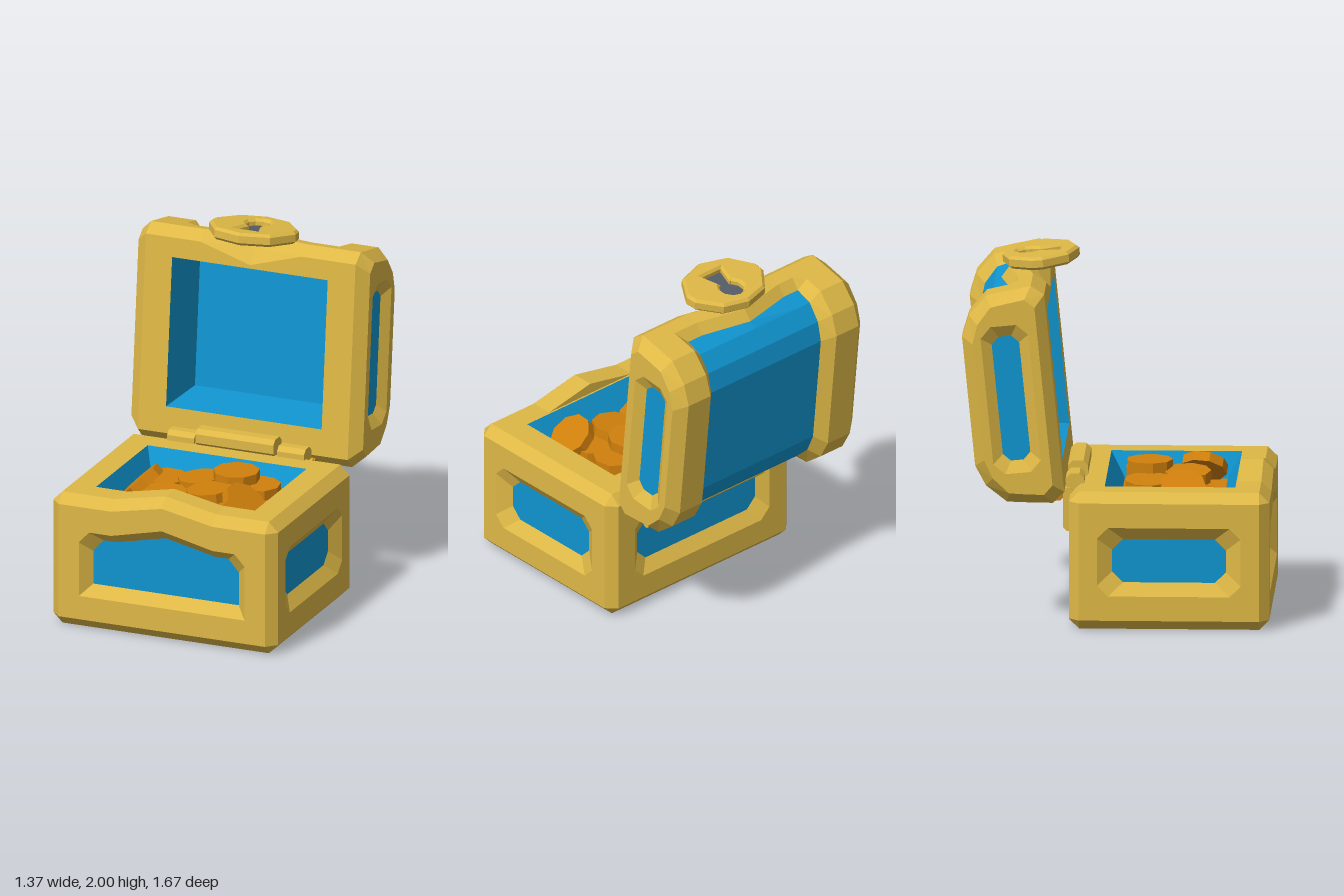
import * as THREE from 'three';

const mat = (name, color) => Object.assign(new THREE.MeshStandardMaterial({ color }), { name });
const V = (x, y, z) => new THREE.Vector3(x, y, z);
const P2 = ([x, y]) => new THREE.Vector2(x, y);

function add(parent, name, geo, material) {
  const m = new THREE.Mesh(geo, material);
  m.name = name;
  parent.add(m);
  return m;
}

// Flat-shaded strips between consecutive loops; keep(i, s) selects edge i of strip s
function loft(loops, closed = true, keep = () => true) {
  const pos = [];
  const tri = (a, b, c) => {
    const n = b.clone().sub(a).cross(c.clone().sub(a));
    if (n.length() > 1e-7) for (const p of [a, b, c]) pos.push(p.x, p.y, p.z);
  };
  for (let s = 0; s + 1 < loops.length; s++) {
    const a = loops[s], b = loops[s + 1], n = a.length;
    for (let i = 0; i < (closed ? n : n - 1); i++) {
      if (!keep(i, s)) continue;
      const j = (i + 1) % n;
      tri(a[i], a[j], b[j]);
      tri(a[i], b[j], b[i]);
    }
  }
  const g = new THREE.BufferGeometry();
  g.setAttribute('position', new THREE.Float32BufferAttribute(pos, 3));
  g.computeVertexNormals();
  return g;
}

// Rectangle with cut corners, counter-clockwise
function cutRect(cx, cy, w, h, c) {
  return [[-w + c, -h], [w - c, -h], [w, -h + c], [w, h - c], [w - c, h], [-w + c, h], [-w, h - c], [-w, -h + c]]
    .map(([x, y]) => [x + cx, y + cy]);
}
const rect = (cx, cy, w, h) => [[-w, -h], [w, -h], [w, h], [-w, h]].map(([x, y]) => [x + cx, y + cy]);

// Framed face with a sloped recess, facing +z before it is turned into place
function panel(parent, name, o) {
  const g = new THREE.Group();
  g.name = name;
  g.position.set(...o.pos);
  g.rotation.set(...(o.rot || [0, 0, 0]));
  const frame = new THREE.Shape(o.outer.map(P2));
  frame.holes.push(new THREE.Path(o.hole.map(P2)));
  add(g, name + 'Frame', new THREE.ShapeGeometry(frame), o.frameMat);
  add(g, name + 'Bevel', loft([
    o.hole.map(([x, y]) => V(x, y, 0)),
    o.inner.map(([x, y]) => V(x, y, -o.depth)),
  ]), o.bevelMat || o.frameMat);
  add(g, name + 'Inset', new THREE.ShapeGeometry(new THREE.Shape(o.inner.map(P2))), o.insetMat).position.z = -o.depth;
  parent.add(g);
}

// Box running along x with cut long edges
function bar(parent, name, w, h, d, c, pos, material) {
  const geo = new THREE.ExtrudeGeometry(new THREE.Shape(cutRect(0, 0, d / 2, h / 2, c).map(P2)), { depth: w, bevelEnabled: false });
  geo.translate(0, 0, -w / 2).rotateY(Math.PI / 2);
  const m = add(parent, name, geo, material);
  m.position.set(...pos);
  return m;
}

export function createModel() {
  const gold = mat('gold', 0xdeb846), blue = mat('blue', 0x1095d0);
  const orange = mat('coinOrange', 0xd0800c), grey = mat('keyholeGrey', 0x565c68);
  const root = new THREE.Group();
  root.name = 'treasureChest';
  const H = Math.PI / 2;

  // Base: chamfered edges with a peaked front, then six framed faces
  const base = new THREE.Group();
  base.name = 'base';
  base.position.z = 0.295;
  root.add(base);
  const X = 0.665, Z = 0.545, c = 0.055;
  const baseLoop = (y, inset, peak) => {
    const x = inset ? X - c : X, z = inset ? Z - c : Z, xi = X - c, zi = Z - c;
    return [[-xi, z], [-0.3, z], [0, z], [0.3, z], [xi, z], [x, zi], [x, -zi], [xi, -z], [-xi, -z], [-x, -zi], [-x, zi]]
      .map(([px, pz], i) => V(px, y + (i === 2 ? peak : 0), pz));
  };
  add(base, 'baseEdges', loft(
    [baseLoop(0, true, 0), baseLoop(c, false, 0), baseLoop(0.705, false, 0.06), baseLoop(0.76, true, 0.06)],
    true, (i, s) => s !== 1 || [4, 6, 8, 10].includes(i)), gold);
  const ridge = new THREE.Shape([[-0.3, 0.76], [0.3, 0.76], [0, 0.82]].map(P2));
  add(base, 'frontRidge', new THREE.ExtrudeGeometry(ridge, { depth: 0.125, bevelEnabled: false }), gold).position.z = 0.365;

  const std = { frameMat: gold, insetMat: blue };
  panel(base, 'frontPanel', {
    ...std, pos: [0, 0, Z], depth: 0.06,
    outer: [[-0.61, c], [0.61, c], [0.61, 0.705], [0.3, 0.705], [0, 0.765], [-0.3, 0.705], [-0.61, 0.705]],
    hole: [[-0.49, 0.19], [0.49, 0.19], [0.49, 0.5], [0.43, 0.565], [0.3, 0.565], [0, 0.635], [-0.3, 0.565], [-0.43, 0.565], [-0.49, 0.5]],
    inner: [[-0.43, 0.25], [0.43, 0.25], [0.43, 0.44], [0.37, 0.51], [0.29, 0.51], [0, 0.575], [-0.29, 0.51], [-0.37, 0.51], [-0.43, 0.44]],
  });
  panel(base, 'backPanel', {
    ...std, pos: [0, 0, -Z], rot: [0, Math.PI, 0], depth: 0.05, outer: rect(0, 0.38, 0.61, 0.325),
    hole: cutRect(0, 0.38, 0.49, 0.19, 0.06), inner: cutRect(0, 0.38, 0.43, 0.12, 0.06),
  });
  for (const s of [1, -1]) {
    panel(base, s > 0 ? 'leftPanel' : 'rightPanel', {
      ...std, pos: [s * X, 0, 0], rot: [0, s * H, 0], depth: 0.05, outer: rect(0, 0.38, 0.49, 0.325),
      hole: cutRect(0, 0.38, 0.39, 0.19, 0.06), inner: cutRect(0, 0.38, 0.31, 0.12, 0.06),
    });
  }
  panel(base, 'bottomPanel', {
    ...std, pos: [0, 0, 0], rot: [H, 0, 0], depth: 0.03, outer: rect(0, 0, 0.61, 0.49),
    hole: rect(0, 0, 0.47, 0.355), inner: rect(0, 0, 0.44, 0.33),
  });
  panel(base, 'topOpening', {
    frameMat: gold, bevelMat: blue, insetMat: orange, pos: [0, 0.76, 0], rot: [-H, 0, 0], depth: 0.14,
    outer: rect(0, 0, 0.61, 0.49), hole: rect(0, 0, 0.47, 0.355), inner: rect(0, 0, 0.415, 0.28),
  });

  // Coins: x, y, z, tilt about x, tilt about z
  const coins = [
    [-0.27, 0.66, 0.16, 0, 0], [-0.06, 0.69, 0.16, 0, 0.1], [0.15, 0.755, 0.16, 0, 0], [0.27, 0.69, 0.15, 0, 0],
    [-0.16, 0.67, 0.41, 0.05, -0.08], [0.08, 0.71, 0.37, 0, 0.1], [0.24, 0.66, 0.36, 0, 0],
    [-0.32, 0.71, 0.36, 0.1, 0.75], [0.32, 0.71, 0.45, 0.15, -0.65],
  ];
  const coinGeo = new THREE.CylinderGeometry(0.128, 0.128, 0.055, 9).toNonIndexed();
  coinGeo.computeVertexNormals();
  coins.forEach(([x, y, z, rx, rz], i) => {
    const m = add(root, 'coin' + (i + 1), coinGeo, orange);
    m.position.set(x, y, z);
    m.rotation.set(rx, i * 0.7, rz, 'XZY');
  });

  // Hinge
  bar(root, 'hingePlate', 0.84, 0.24, 0.06, 0.02, [0, 0.62, -0.26], gold);
  bar(root, 'hingeBarrel', 0.46, 0.1, 0.11, 0.025, [0, 0.8, -0.215], gold);
  for (const s of [1, -1]) bar(root, 'hingeLug', 0.16, 0.09, 0.1, 0.025, [s * 0.325, 0.77, -0.225], gold);
  bar(root, 'hingeLeaf', 0.84, 0.07, 0.12, 0.015, [0, 0.7, -0.35], orange).rotation.x = -0.1;

  // Lid, tilted back
  const lid = new THREE.Group();
  lid.name = 'lid';
  lid.position.set(0, 1.307, -0.329);
  lid.rotation.x = -0.0995;
  root.add(lid);
  const mirror = half => [...half.map(([y, z]) => [-y, z]), ...half.slice().reverse()];
  const full = mirror([[0.55, 0], [0.605, -0.068], [0.595, -0.15], [0.59, -0.2], [0.575, -0.315], [0.475, -0.42], [0.36, -0.468]]);
  const waist = mirror([[0.55, 0], [0.605, -0.068], [0.595, -0.15], [0.54, -0.2], [0.515, -0.3], [0.43, -0.375], [0.32, -0.41]]);
  const inset = full.map(([y, z]) => [y * 0.9, (z + 0.235) * 0.76 - 0.235]);
  const notched = waist.map(([y, z], i) => [y, i >= 10 ? z - 0.06 : z]);
  const at = (x, prof) => prof.map(([y, z]) => V(x, y, z));
  const stations = [at(-0.685, inset), at(-0.62, full), at(-0.46, full), at(-0.4, waist), at(-0.3, waist), at(0, notched),
    at(0.3, waist), at(0.4, waist), at(0.46, full), at(0.62, full), at(0.685, inset)];
  const isBarrel = (i, s) => s >= 3 && s <= 6 && i >= 3 && i <= 9;
  add(lid, 'lidShell', loft(stations, true, (i, s) => !isBarrel(i, s) && (i < 13 || s === 0 || s === 9)), gold);
  add(lid, 'lidBarrel', loft(stations, false, isBarrel), blue);
  panel(lid, 'lidOpening', {
    frameMat: gold, bevelMat: blue, insetMat: blue, pos: [0, 0, 0], depth: 0.3,
    outer: [[-0.62, -0.55], [0.62, -0.55], [0.62, 0.55], [0.3, 0.55], [0, 0.46], [-0.3, 0.55], [-0.62, 0.55]],
    hole: rect(0, 0.02, 0.46, 0.42), inner: rect(0, 0.015, 0.42, 0.36),
  });
  add(lid, 'lidNotch', loft([
    [V(-0.3, 0.55, 0), V(0, 0.46, 0), V(0.3, 0.55, 0)],
    [V(-0.3, 0.55, 0), V(0, 0.55, -0.06), V(0.3, 0.55, 0)],
  ], false), gold);
  for (const s of [1, -1]) {
    panel(lid, s > 0 ? 'lidLeftEnd' : 'lidRightEnd', {
      ...std, pos: [s * 0.685, 0, 0], rot: [0, s * H, 0], depth: 0.04,
      outer: inset.map(([y, z]) => [-s * z, y]),
      hole: cutRect(s * 0.235, 0, 0.13, 0.41, 0.06), inner: cutRect(s * 0.235, 0, 0.075, 0.345, 0.04),
    });
  }

  // Lock plate with keyhole
  const right = [[0.165, -0.127], [0.255, 0.012], [0.25, 0.075], [0.15, 0.2]];
  const plate = new THREE.Shape([[0, -0.179], ...right, [0, 0.241], ...right.slice().reverse().map(([x, y]) => [-x, y])].map(P2));
  const key = [[-0.07, -0.075], [0.07, -0.075], [0.033, 0.04]];
  for (let i = 0; i <= 8; i++) {
    const a = -0.9 + (i / 8) * (Math.PI + 1.8);
    key.push([Math.cos(a) * 0.068, 0.095 + Math.sin(a) * 0.068]);
  }
  key.push([-0.033, 0.04]);
  plate.holes.push(new THREE.Path(key.map(P2)));
  const lock = new THREE.Group();
  lock.name = 'lock';
  lock.rotation.x = -H;
  lock.position.y = 0.625;
  lid.add(lock);
  add(lock, 'lockPlate', new THREE.ExtrudeGeometry(plate, {
    depth: 0.04, bevelThickness: 0.015, bevelSize: 0.015, bevelOffset: -0.015, bevelSegments: 1,
  }), gold);
  const floor = new THREE.Shape(key.map(([x, y]) => P2([x * 1.25, (y - 0.03) * 1.15 + 0.03])));
  add(lock, 'keyhole', new THREE.ExtrudeGeometry(floor, { depth: 0.008, bevelEnabled: false }), grey).position.z = 0.01;
  return root;
}
